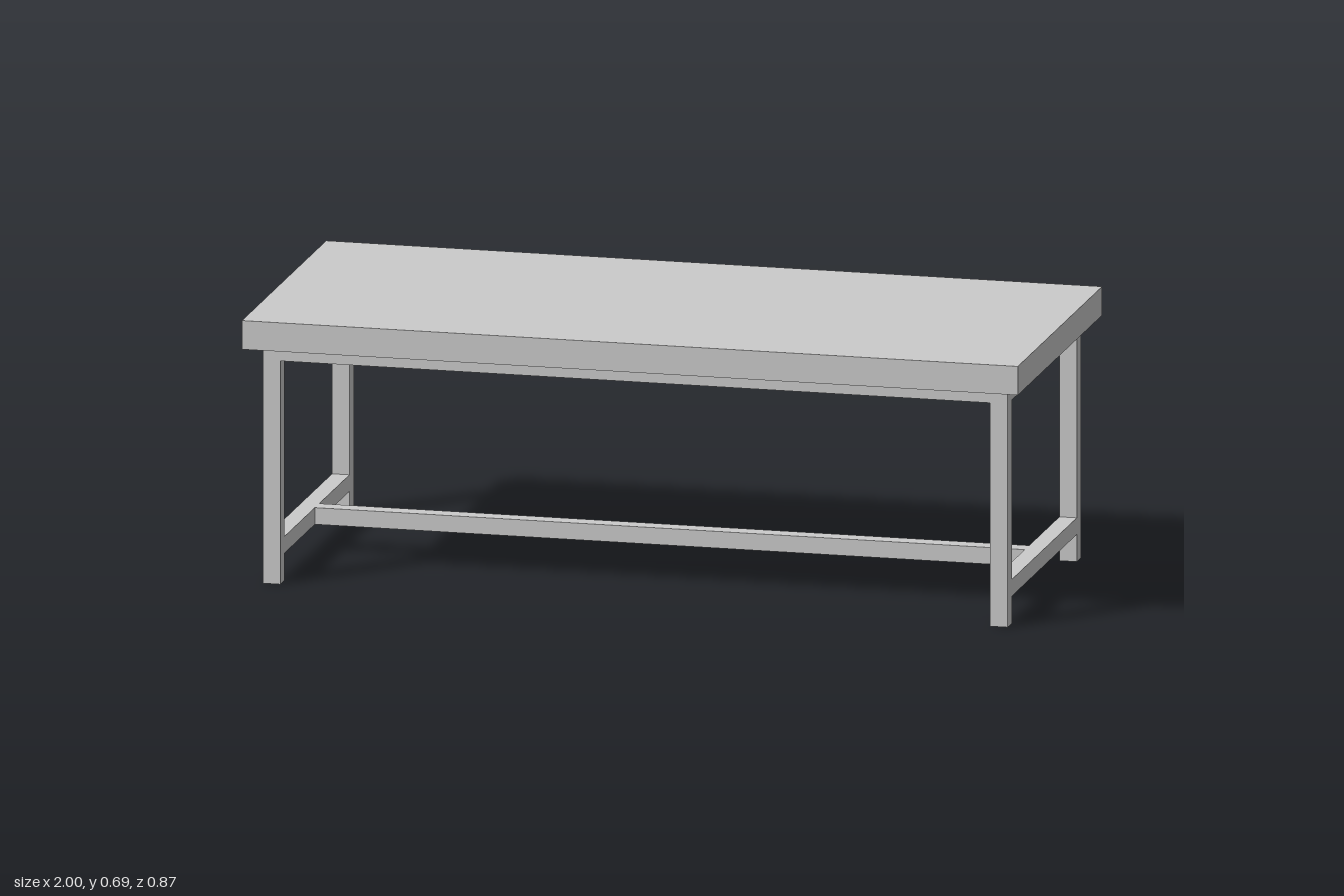
import * as THREE from 'three';

export function createModel() {
  const table = new THREE.Group();
  table.name = 'table';
  const material = new THREE.MeshStandardMaterial({ color: 0xcccccc });

  // Box given by its size and centre
  const addBox = (name, [w, h, d], [x, y, z]) => {
    const mesh = new THREE.Mesh(new THREE.BoxGeometry(w, h, d), material);
    mesh.name = name;
    mesh.position.set(x, y, z);
    table.add(mesh);
  };

  const height = 0.687, topThickness = 0.074;
  const underside = height - topThickness;
  const bar = 0.045;                    // width of legs, rails and stretchers
  const legX = 0.9375, legZ = 0.357;    // leg centres
  const spanX = 2 * legX - bar, spanZ = 2 * legZ - bar;
  const railH = 0.038, railY = underside - railH / 2;

  addBox('tabletop', [2, topThickness, 0.87], [0, height - topThickness / 2, 0]);

  for (const side of [-1, 1]) {
    for (const end of [-1, 1]) {
      addBox('leg', [bar, underside, bar], [side * legX, underside / 2, end * legZ]);
    }
    // Frame under the top
    addBox('endRail', [bar, railH, spanZ], [side * legX, railY, 0]);
    addBox('longRail', [spanX, railH, bar], [0, railY, side * legZ]);
    // Low bar between the legs at each end
    addBox('endStretcher', [bar, 0.043, spanZ], [side * legX, 0.0915, 0]);
  }

  // Low bar joining the two ends
  addBox('centreStretcher', [spanX, 0.043, bar], [0, 0.0915, 0]);

  return table;
}
